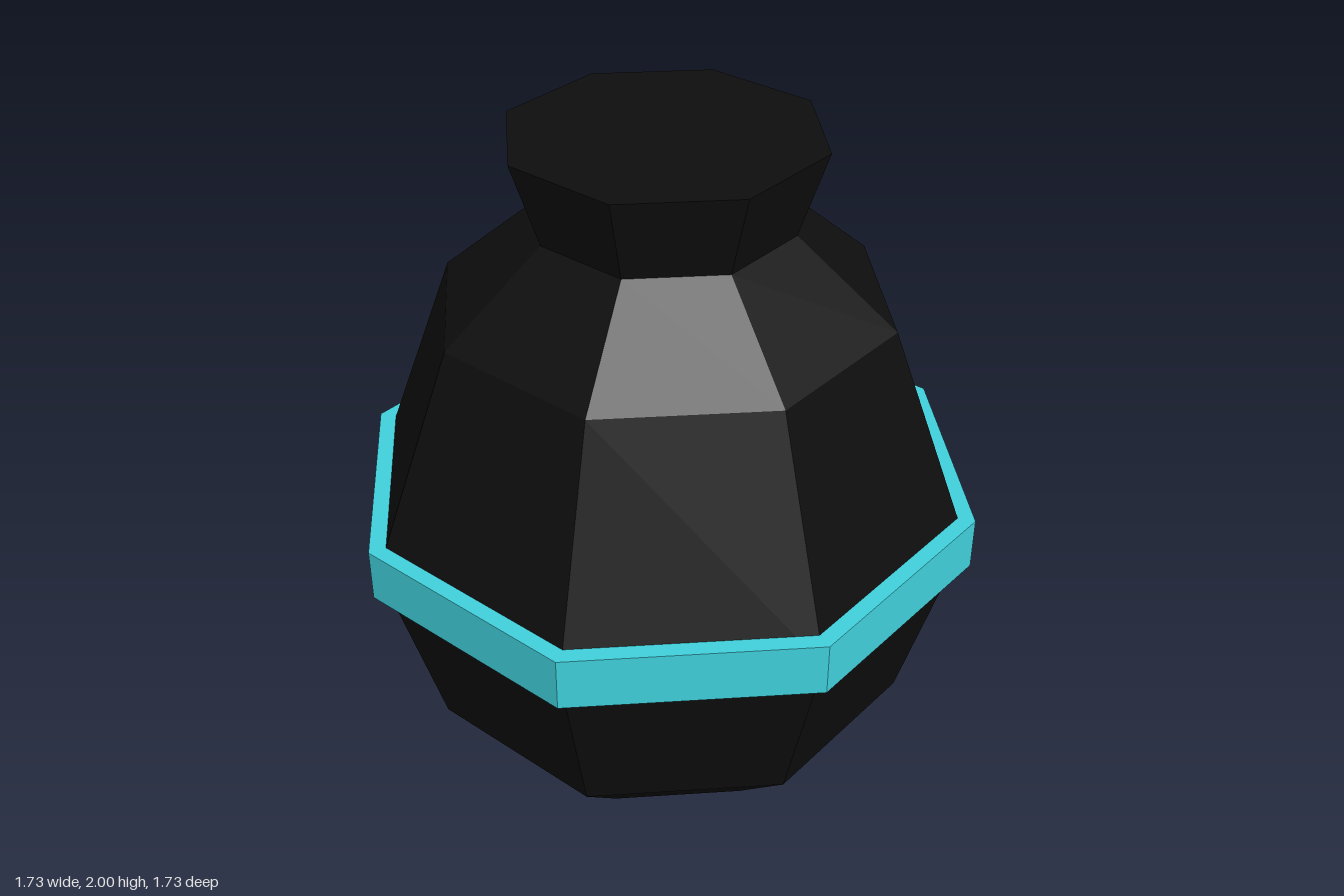
import * as THREE from 'three';

const SIDES = 8;

// Octagonal turned part; profile is [distance to flat side, height], bottom to top on the outside.
function turned(name, profile, material) {
  const k = 1 / Math.cos(Math.PI / SIDES);
  const points = profile.map(([r, y]) => new THREE.Vector2(r * k, y));
  const mesh = new THREE.Mesh(
    new THREE.LatheGeometry(points, SIDES, Math.PI / SIDES, Math.PI * 2), material);
  mesh.name = name;
  return mesh;
}

export function createModel() {
  const black = new THREE.MeshStandardMaterial({ color: 0x0e0e0e, flatShading: true });
  black.name = 'black';
  const turquoise = new THREE.MeshStandardMaterial({ color: 0x40d0dc, flatShading: true });
  turquoise.name = 'turquoise';

  const group = new THREE.Group();
  group.name = 'pot';

  // Closed body with shoulder, narrow neck and flared, capped top
  group.add(turned('body', [
    [0, 0], [0.46, 0], [0.69, 0.25], [0.845, 0.84],
    [0.615, 1.5], [0.345, 1.75], [0.42, 2], [0, 2],
  ], black));

  // Band around the widest part
  group.add(turned('band', [
    [0.865, 0.76], [0.865, 0.92], [0.8, 0.92], [0.8, 0.76], [0.865, 0.76],
  ], turquoise));

  return group;
}
